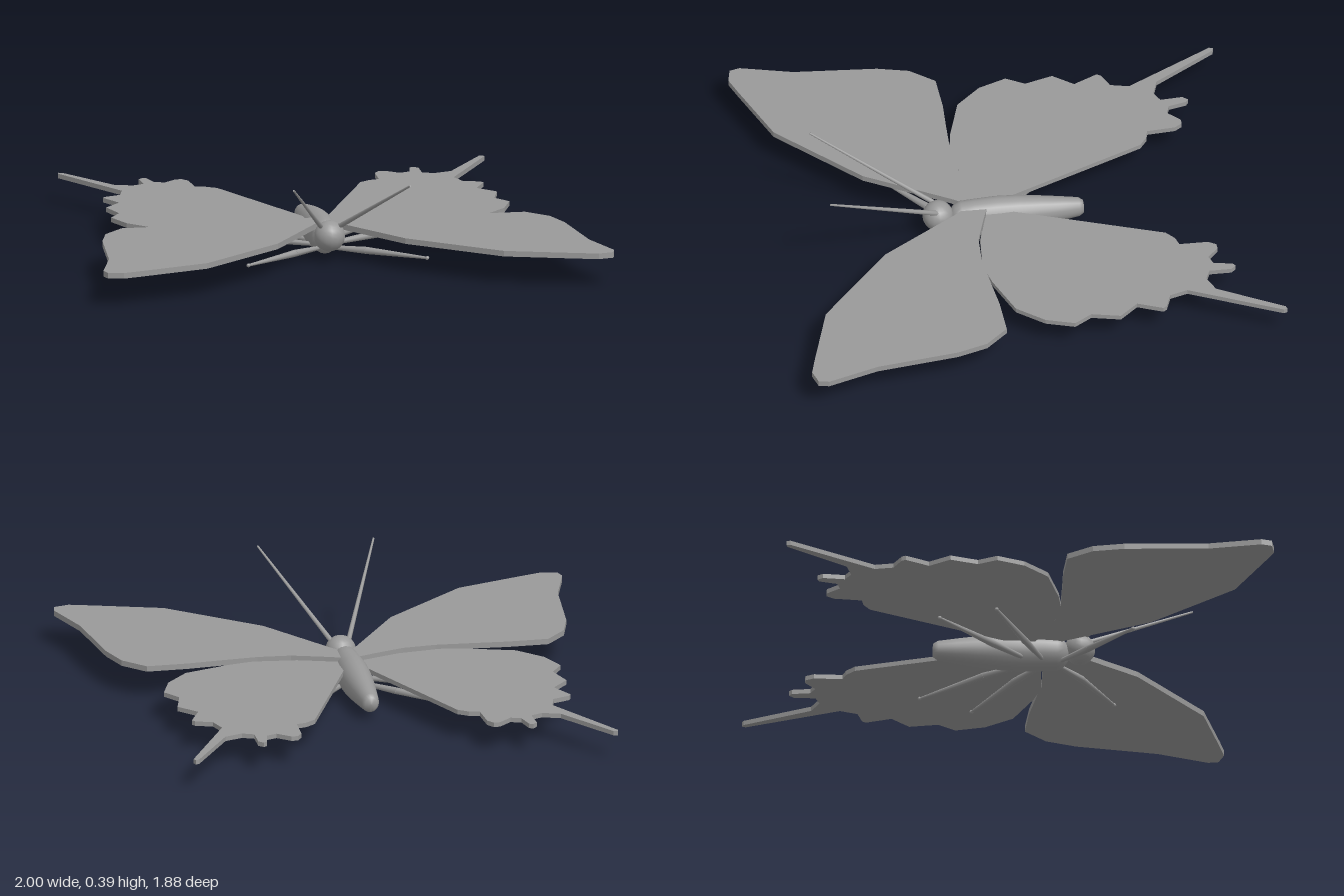
import * as THREE from 'three';

const grey = new THREE.MeshStandardMaterial({ color: 0x999999 });
grey.name = 'grey';

// Outlines of the left wings as [x, z]
const FORE_WING = [
  [0.02, 0.09], [0.1, 0.12], [0.22, 0.16], [0.35, 0.17], [0.5, 0.16], [0.63, 0.15], [0.79, 0.15],
  [0.87, 0.24], [0.905, 0.36], [0.94, 0.68], [1, 0.88], [0.99, 0.92], [0.93, 0.935], [0.85, 0.91],
  [0.58, 0.82], [0.25, 0.53], [0.05, 0.22], [0.02, 0.18],
];
const HIND_WING = [
  [0.02, 0.09], [0.2, 0.15], [0.37, 0.17], [0.47, 0.15], [0.65, 0.09], [0.74, -0.01], [0.78, -0.12],
  [0.735, -0.19], [0.765, -0.3], [0.7, -0.375], [0.745, -0.47], [0.735, -0.485], [0.67, -0.51],
  [0.65, -0.58], [0.835, -0.925], [0.83, -0.94], [0.815, -0.935], [0.66, -0.69], [0.59, -0.665],
  [0.545, -0.685], [0.548, -0.77], [0.53, -0.79], [0.515, -0.78], [0.5, -0.71], [0.46, -0.695],
  [0.41, -0.74], [0.385, -0.74], [0.365, -0.71], [0.36, -0.6], [0.32, -0.59], [0.28, -0.56],
  [0.05, -0.01], [0.02, 0.04],
];

// Tips of the left legs as [x, z], with the z of each hip
const LEGS = [
  { name: 'frontLeg', tip: [0.35, 0.45], hip: 0.2 },
  { name: 'middleLeg', tip: [0.47, -0.09], hip: 0.14 },
  { name: 'rearLeg', tip: [0.37, -0.3], hip: 0.08 },
];

function add(parent, name, geometry) {
  const mesh = new THREE.Mesh(geometry, grey);
  mesh.name = name;
  parent.add(mesh);
  return mesh;
}

// Flat plate whose upper face lies at height top
function wing(outline, side, top, depth) {
  const shape = new THREE.Shape(outline.map(([x, z]) => new THREE.Vector2(x * side, z)));
  return new THREE.ExtrudeGeometry(shape, { depth, bevelEnabled: false })
    .rotateX(Math.PI / 2).translate(0, top, 0);
}

// Tapered rod between two points
function rod(a, b, ra, rb) {
  const from = new THREE.Vector3(...a);
  const dir = new THREE.Vector3(...b).sub(from);
  const g = new THREE.CylinderGeometry(rb, ra, dir.length(), 8);
  const turn = new THREE.Quaternion().setFromUnitVectors(new THREE.Vector3(0, 1, 0), dir.clone().normalize());
  return g.applyQuaternion(turn).translate(...from.addScaledVector(dir, 0.5).toArray());
}

// Body turned around z, with the thorax raised towards the front
function bodyGeometry() {
  const profile = [
    [0, -0.29], [0.024, -0.287], [0.034, -0.27], [0.043, -0.2], [0.052, -0.12], [0.06, -0.03],
    [0.062, 0.05], [0.058, 0.14], [0.055, 0.19], [0.046, 0.215], [0.025, 0.235], [0, 0.24],
  ].map(([r, z]) => new THREE.Vector2(r, z));
  const g = new THREE.LatheGeometry(profile, 20).rotateX(Math.PI / 2);
  const p = g.attributes.position;
  for (let i = 0; i < p.count; i++) {
    const t = THREE.MathUtils.clamp((p.getZ(i) + 0.29) / 0.5, 0, 1);
    p.setY(i, p.getY(i) * (1.12 + 0.13 * t) + 0.062 + 0.01 * t);
  }
  g.computeVertexNormals();
  return g;
}

export function createModel() {
  const model = new THREE.Group();
  model.name = 'butterfly';

  add(model, 'body', bodyGeometry());
  add(model, 'head', new THREE.SphereGeometry(0.06, 16, 12).translate(0, 0.093, 0.28));

  for (const side of [1, -1]) {
    const label = side > 0 ? 'left' : 'right';
    add(model, label + 'ForeWing', wing(FORE_WING, side, 0.127, 0.022));
    add(model, label + 'HindWing', wing(HIND_WING, side, 0.11, 0.018));
    add(model, label + 'Antenna', rod([0.03 * side, 0.125, 0.28], [0.228 * side, 0.38, 0.74], 0.01, 0.004));

    for (const { name, tip, hip } of LEGS) {
      const leg = new THREE.Group();
      leg.name = label + name[0].toUpperCase() + name.slice(1);
      model.add(leg);
      // Thickest at the knee, thin at the hip and foot
      const [x, z] = tip;
      const start = [0.02 * side, 0.03, hip];
      const knee = [x * 0.4 * side, 0.034, hip + (z - hip) * 0.4];
      const foot = [x * side, 0.028, z];
      add(leg, 'thigh', rod(start, knee, 0.008, 0.014));
      add(leg, 'shin', rod(knee, foot, 0.014, 0.005));
      add(leg, 'foot', new THREE.SphereGeometry(0.008, 8, 6).translate(...foot));
    }
  }
  return model;
}
